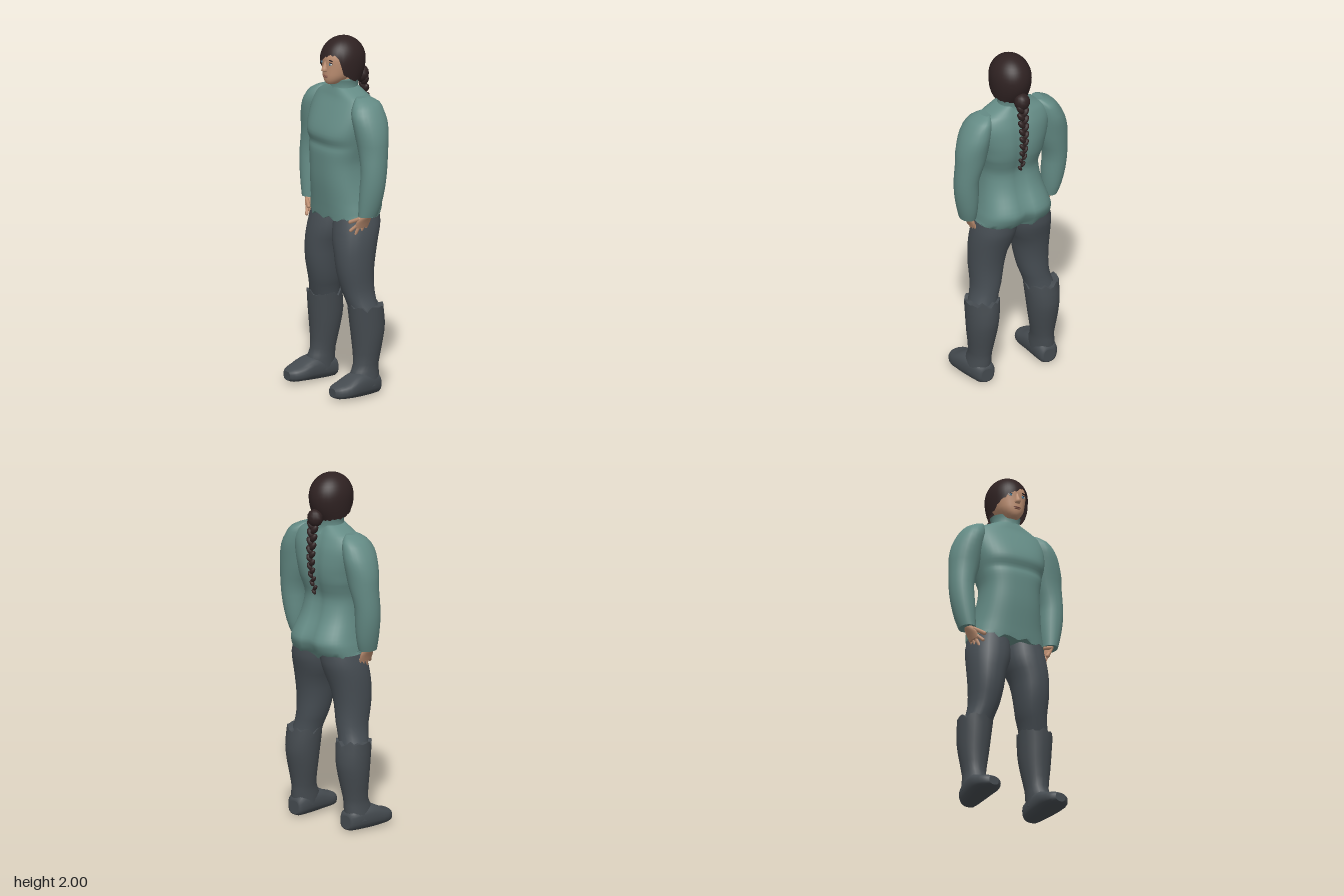
import * as THREE from 'three';

const mat = (name, color, side = THREE.FrontSide) => {
  const m = new THREE.MeshStandardMaterial({ color, side });
  m.name = name;
  return m;
};
const M = {
  tunic: mat('teal cloth', 0x648b85),
  trousers: mat('charcoal cloth', 0x474e54),
  boots: mat('boot leather', 0x454b50),
  skin: mat('skin', 0xbd8f72),
  hair: mat('dark brown hair', 0x2f2222, THREE.DoubleSide),
  lips: mat('lips', 0x8c5c4e),
  eyeWhite: mat('eye white', 0xc9c6c0),
  iris: mat('blue iris', 0x4f7f9c),
};

const add = (parent, name, geo, material) => {
  const m = new THREE.Mesh(geo, material);
  m.name = name;
  parent.add(m);
  return m;
};

// Smooth interpolation of a list of cross-section rows
function refine(rows, sub) {
  const out = [];
  const at = i => rows[Math.min(rows.length - 1, Math.max(0, i))];
  for (let i = 0; i < rows.length - 1; i++) {
    for (let s = 0; s < sub; s++) {
      const t = s / sub;
      out.push(rows[i].map((_, k) => {
        const [a, b, c, d] = [at(i - 1)[k], at(i)[k], at(i + 1)[k], at(i + 2)[k]];
        return b + 0.5 * t * (c - a + t * (2 * a - 5 * b + 4 * c - d + t * (3 * (b - c) + d - a)));
      }));
    }
  }
  out.push(rows[rows.length - 1]);
  return out;
}

// Capped skin over rows [level, cx, halfWidth, low, high]; level runs along y (low/high = z) or z (low/high = y)
function loft(rows, { axis = 'y', power = 2, seg = 24, sub = 2, warp } = {}) {
  const R = refine(rows, sub), pos = [], idx = [];
  const tri = (a, b, c) => (axis === 'y' ? idx.push(a, c, b) : idx.push(a, b, c));
  const bend = v => Math.sign(v) * Math.abs(v) ** (2 / power);
  R.forEach(([t, cx, w, lo, hi], i) => {
    for (let j = 0; j < seg; j++) {
      const a = (j / seg) * Math.PI * 2;
      const x = cx + w * bend(Math.cos(a));
      const d = (lo + hi) / 2 + (hi - lo) / 2 * bend(Math.sin(a));
      const p = axis === 'y' ? new THREE.Vector3(x, t, d) : new THREE.Vector3(x, d, t);
      if (warp) warp(p, i, j, R.length - 1);
      pos.push(p.x, p.y, p.z);
    }
  });
  for (let i = 0; i < R.length - 1; i++) {
    for (let j = 0; j < seg; j++) {
      const a = i * seg + j, b = i * seg + (j + 1) % seg;
      tri(a, b, a + seg);
      tri(b, b + seg, a + seg);
    }
  }
  for (const end of [0, R.length - 1]) {
    const base = pos.length / 3, [t, cx, , lo, hi] = R[end], m = (lo + hi) / 2;
    for (let j = 0; j < seg * 3; j++) pos.push(pos[end * seg * 3 + j]);
    pos.push(cx, axis === 'y' ? t : m, axis === 'y' ? m : t);
    for (let j = 0; j < seg; j++) {
      const a = base + j, b = base + (j + 1) % seg, c = base + seg;
      if (end) tri(a, b, c); else tri(b, a, c);
    }
  }
  const g = new THREE.BufferGeometry();
  g.setAttribute('position', new THREE.Float32BufferAttribute(pos, 3));
  g.setIndex(idx);
  g.computeVertexNormals();
  return g;
}

const ragged = j => 0.013 * Math.sin(j * 2.3) + 0.007 * Math.sin(j * 5.1 + 1);

// Rounded finger between two points
function finger(parent, name, a, b, r) {
  const A = new THREE.Vector3(...a), B = new THREE.Vector3(...b), d = B.clone().sub(A);
  const m = add(parent, name, new THREE.CapsuleGeometry(r, d.length(), 3, 8), M.skin);
  m.position.copy(A).add(B).multiplyScalar(0.5);
  m.quaternion.setFromUnitVectors(new THREE.Vector3(0, 1, 0), d.normalize());
}

function ball(parent, name, material, p, s, rz = 0) {
  const m = add(parent, name, new THREE.SphereGeometry(1, 12, 8), material);
  m.position.set(...p);
  m.scale.set(...s);
  m.rotation.z = rz;
  return m;
}

// One arm, hand, leg and boot on the +x side
function buildSide(name) {
  const g = new THREE.Group();
  g.name = name;
  add(g, 'sleeve', loft([
    [1.035, 0.262, 0.044, -0.055, 0.058], [1.1, 0.27, 0.056, -0.075, 0.058], [1.2, 0.28, 0.067, -0.09, 0.055],
    [1.3, 0.284, 0.069, -0.1, 0.05], [1.4, 0.266, 0.083, -0.115, 0.05], [1.475, 0.255, 0.09, -0.125, 0.06],
    [1.55, 0.24, 0.085, -0.135, 0.07], [1.61, 0.22, 0.075, -0.13, 0.07], [1.66, 0.2, 0.055, -0.115, 0.045],
    [1.688, 0.17, 0.025, -0.07, 0.01]]), M.tunic);
  add(g, 'palm', loft([
    [0.965, 0.228, 0.014, -0.025, 0.06], [1.0, 0.24, 0.018, -0.032, 0.062],
    [1.03, 0.255, 0.022, -0.025, 0.045], [1.06, 0.262, 0.025, -0.025, 0.035]], { seg: 12 }), M.skin);
  [[0.052, 0.075, 0.95], [0.03, 0.046, 0.92], [0.006, 0.014, 0.915], [-0.016, -0.018, 0.93]].forEach(([z0, z1, y], i) =>
    finger(g, 'finger' + (i + 1), [0.23, 0.98, z0], [0.205, y, z1], 0.0095));
  finger(g, 'thumb', [0.245, 1.02, 0.045], [0.193, 0.995, 0.07], 0.011);

  add(g, 'trouserLeg', loft([
    [0.46, 0.19, 0.085, -0.115, 0.045], [0.53, 0.17, 0.078, -0.105, 0.065], [0.6, 0.152, 0.083, -0.103, 0.085],
    [0.7, 0.144, 0.094, -0.105, 0.108], [0.8, 0.136, 0.104, -0.122, 0.115], [0.88, 0.12, 0.118, -0.145, 0.112],
    [0.96, 0.11, 0.117, -0.168, 0.1], [1.05, 0.1, 0.1, -0.165, 0.08]], { power: 2.15 }), M.trousers);
  add(g, 'bootShaft', loft([
    [0.06, 0.208, 0.07, -0.1, 0.07], [0.12, 0.204, 0.066, -0.105, 0.07], [0.18, 0.2, 0.064, -0.105, 0.042],
    [0.3, 0.197, 0.083, -0.13, 0.046], [0.4, 0.194, 0.093, -0.145, 0.056], [0.505, 0.19, 0.099, -0.132, 0.064]],
  { warp: (p, i, j, last) => { if (i === last) p.y += ragged(j); } }), M.boots);
  add(g, 'bootFoot', loft([
    [-0.107, 0.2, 0.035, 0.015, 0.09], [-0.09, 0.202, 0.058, 0.004, 0.12], [0, 0.21, 0.072, 0.002, 0.14],
    [0.07, 0.215, 0.078, 0.004, 0.13], [0.13, 0.216, 0.078, 0.008, 0.1], [0.18, 0.214, 0.06, 0.01, 0.085],
    [0.205, 0.212, 0.03, 0.02, 0.07]], { axis: 'z', power: 2.5 }), M.boots);
  return g;
}

// Hair shell whose lower edge follows a table of [degrees from front, height]
function hairCap() {
  const edge = [[-180, 1.74], [-130, 1.755], [-90, 1.762], [-68, 1.785], [-48, 1.83], [-25, 1.865], [0, 1.89],
    [25, 1.92], [48, 1.9], [62, 1.8], [90, 1.765], [130, 1.755], [180, 1.74]];
  const seg = 60, rings = 14, pos = [], idx = [];
  for (let i = 0; i <= rings; i++) {
    for (let j = 0; j < seg; j++) {
      const deg = -180 + j * 360 / seg, a = deg * Math.PI / 180;
      const k = edge.findIndex((e, n) => deg >= e[0] && deg < edge[n + 1][0]);
      const low = THREE.MathUtils.mapLinear(deg, edge[k][0], edge[k + 1][0], edge[k][1], edge[k + 1][1]) + ragged(j) * 0.35;
      const y = 2 - (2 - low) * (1 - Math.cos(i / rings * Math.PI / 2));
      const h = y - 1.87, back = (1 - Math.cos(a)) / 2;
      const r = h > 0 ? Math.sqrt(Math.max(0, 1 - (h / 0.13) ** 2)) : 1 - h * h * (8 + 14 * back ** 4);
      pos.push(0.114 * r * Math.sin(a), y, -0.02 + 0.132 * r * Math.cos(a));
      if (i < rings) {
        const p = i * seg + j, q = i * seg + (j + 1) % seg;
        idx.push(p, p + seg, q, q, p + seg, q + seg);
      }
    }
  }
  const g = new THREE.BufferGeometry();
  g.setAttribute('position', new THREE.Float32BufferAttribute(pos, 3));
  g.setIndex(idx);
  g.computeVertexNormals();
  return g;
}

function buildHead() {
  const g = new THREE.Group();
  g.name = 'head';
  add(g, 'face', loft([
    [1.742, 0, 0.026, 0.0, 0.082], [1.755, 0, 0.045, -0.03, 0.094], [1.785, 0, 0.069, -0.07, 0.1],
    [1.82, 0, 0.082, -0.1, 0.1], [1.86, 0, 0.09, -0.11, 0.1], [1.9, 0, 0.09, -0.11, 0.1],
    [1.94, 0, 0.076, -0.09, 0.075], [1.97, 0, 0.035, -0.05, 0.03]], { power: 2.2 }), M.skin);
  add(g, 'neck', new THREE.CylinderGeometry(0.058, 0.062, 0.12, 16), M.skin).position.set(0, 1.74, -0.025);
  // Nose as a narrow wedge
  add(g, 'nose', loft([
    [1.814, 0, 0.014, 0.08, 0.108], [1.825, 0, 0.017, 0.08, 0.124], [1.85, 0, 0.011, 0.08, 0.112],
    [1.878, 0, 0.008, 0.08, 0.1]], { seg: 10 }), M.skin);
  ball(g, 'upperLip', M.lips, [0, 1.792, 0.098], [0.024, 0.004, 0.007]);
  ball(g, 'lowerLip', M.lips, [0, 1.784, 0.097], [0.019, 0.005, 0.007]);
  for (const s of [-1, 1]) {
    ball(g, 'eye', M.eyeWhite, [s * 0.038, 1.862, 0.091], [0.016, 0.007, 0.005]);
    ball(g, 'iris', M.iris, [s * 0.037, 1.862, 0.095], [0.007, 0.007, 0.003]);
    ball(g, 'eyelashes', M.hair, [s * 0.039, 1.87, 0.091], [0.018, 0.0025, 0.006], -s * 0.1);
    ball(g, 'eyebrow', M.hair, [s * 0.039, 1.884, 0.091], [0.021, 0.004, 0.006], -s * 0.12);
  }
  add(g, 'hairCap', hairCap(), M.hair);
  // Braid of alternating slanted locks
  ball(g, 'braidKnot', M.hair, [0, 1.765, -0.145], [0.046, 0.05, 0.042]);
  const path = new THREE.CatmullRomCurve3([[1.75, -0.155], [1.65, -0.165], [1.55, -0.174], [1.45, -0.168], [1.34, -0.142]]
    .map(([y, z]) => new THREE.Vector3(0.004, y, z)));
  const n = 18;
  for (let i = 0; i < n; i++) {
    const s = i % 2 ? 1 : -1, p = path.getPoint(i / (n - 1)), w = 1 - 0.5 * i / n;
    ball(g, 'braidLock', M.hair, [p.x + s * 0.014 * w, p.y, p.z], [0.019 * w, 0.034 * w, 0.022 * w], -s * 0.6);
  }
  return g;
}

export function createModel() {
  const model = new THREE.Group();
  model.name = 'braidedFigure';
  // Tunic body with a groove down the back and a ragged hem
  add(model, 'tunicBody', loft([
    [0.985, 0, 0.223, -0.176, 0.112], [1.05, 0, 0.213, -0.21, 0.12], [1.1, 0, 0.2, -0.204, 0.127],
    [1.2, 0, 0.178, -0.152, 0.14], [1.3, 0, 0.168, -0.128, 0.145], [1.37, 0, 0.18, -0.145, 0.146],
    [1.41, 0, 0.19, -0.157, 0.138], [1.46, 0, 0.2, -0.166, 0.152], [1.52, 0, 0.212, -0.168, 0.136],
    [1.6, 0, 0.22, -0.158, 0.098], [1.66, 0, 0.2, -0.135, 0.066], [1.69, 0, 0.15, -0.118, 0.055],
    [1.72, 0, 0.08, -0.1, 0.045]], {
    power: 2.5, seg: 40, sub: 3,
    warp: (p, i, j) => {
      if (p.z < 0) p.z *= 1 - 0.13 * Math.exp(-((p.x / 0.035) ** 2));
      if (i === 0) p.y += ragged(j) + 0.1 * Math.abs(p.x);
    },
  }), M.tunic);
  add(model, 'collar', loft([
    [1.67, 0, 0.1, -0.12, 0.06], [1.7, 0, 0.083, -0.105, 0.05], [1.735, 0, 0.078, -0.105, 0.045],
    [1.765, 0, 0.086, -0.112, 0.05]]), M.tunic);

  const left = buildSide('leftLimbs'), right = buildSide('rightLimbs');
  right.scale.x = -1;
  model.add(left, right, buildHead());
  return model;
}
